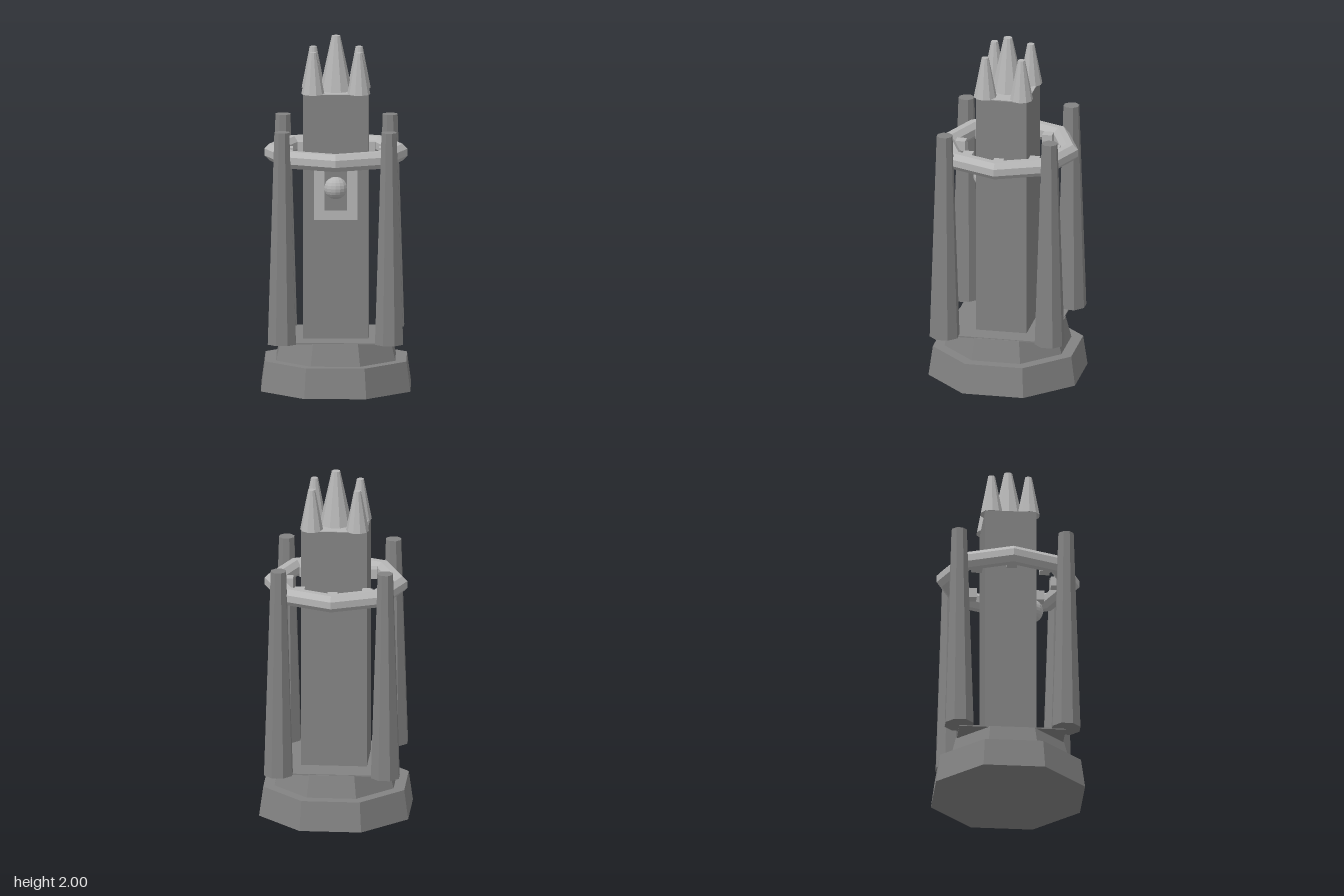
import * as THREE from 'three';

export function createModel() {
  const model = new THREE.Group();
  const darkStone = new THREE.MeshStandardMaterial({ color: 0x838383, flatShading: true });
  darkStone.name = 'dark stone';
  const paleStone = new THREE.MeshStandardMaterial({ color: 0xb6b6b6, flatShading: true });
  paleStone.name = 'pale stone';

  const add = (name, geometry, material, x, y, z) => {
    const mesh = new THREE.Mesh(geometry, material);
    mesh.name = name;
    mesh.position.set(x, y, z);
    model.add(mesh);
    return mesh;
  };
  const box = (name, mat, w, h, d, x, y, z) =>
    add(name, new THREE.BoxGeometry(w, h, d), mat, x, y, z);

  // Tapered octagon with flats on the axes, sized by its half widths
  const octagon = (name, top, bottom, y0, y1, x = 0, z = 0) => {
    const k = 1 / Math.cos(Math.PI / 8);
    const g = new THREE.CylinderGeometry(top * k, bottom * k, y1 - y0, 8);
    g.rotateY(Math.PI / 8);
    return add(name, g, darkStone, x, (y0 + y1) / 2, z);
  };
  // Blunt ten-sided spike
  const spike = (name, top, bottom, y1, x, z) => {
    const y0 = 1.685;
    const g = new THREE.CylinderGeometry(top, bottom, y1 - y0, 10);
    g.rotateY(Math.PI / 2);
    return add(name, g, paleStone, x, (y0 + y1) / 2, z);
  };

  // Stepped base and the thin square floor that carries the pillars
  octagon('baseLower', 0.397, 0.42, 0, 0.17);
  octagon('baseUpper', 0.305, 0.335, 0.17, 0.294);
  box('pillarFloor', darkStone, 0.6, 0.008, 0.6, 0, 0.294, 0);

  // Main column and its cap
  box('column', darkStone, 0.37, 1.39, 0.29, 0, 0.99, 0);
  box('columnCap', paleStone, 0.35, 0.004, 0.288, 0, 1.686, 0);

  // Crown of spikes and corner pillars
  spike('centreSpike', 0.024, 0.092, 2, 0, 0);
  for (const sx of [-1, 1]) {
    for (const sz of [-1, 1]) {
      spike('cornerSpike', 0.02, 0.065, 1.92, sx * 0.129, sz * 0.104);
      octagon('pillar', 0.042, 0.079, 0.295, 1.5, sx * 0.301, sz * 0.301);
    }
  }

  // Eight-sided ring with an octagonal section
  const section = [];
  for (let i = 0; i <= 8; i++) {
    const a = (i + 0.5) * Math.PI / 4;
    section.push(new THREE.Vector2(0.354 + 0.052 * Math.cos(a), 0.052 * Math.sin(a)));
  }
  add('ring', new THREE.LatheGeometry(section, 8), paleStone, 0, 1.335, 0);

  // Small blocks inside the ring
  for (let i = 0; i < 8; i++) {
    const a = i * Math.PI / 4;
    box('ringBlock', paleStone, 0.057, 0.057, 0.057,
      0.269 * Math.sin(a), 1.335, 0.269 * Math.cos(a));
  }

  // Window frame, pane and orb on the front
  box('windowFrame', paleStone, 0.244, 0.365, 0.006, 0, 1.157, 0.146);
  box('windowPane', darkStone, 0.126, 0.255, 0.006, 0, 1.157, 0.149);
  add('orb', new THREE.SphereGeometry(0.068, 16, 12), paleStone, 0, 1.157, 0.13);

  return model;
}
